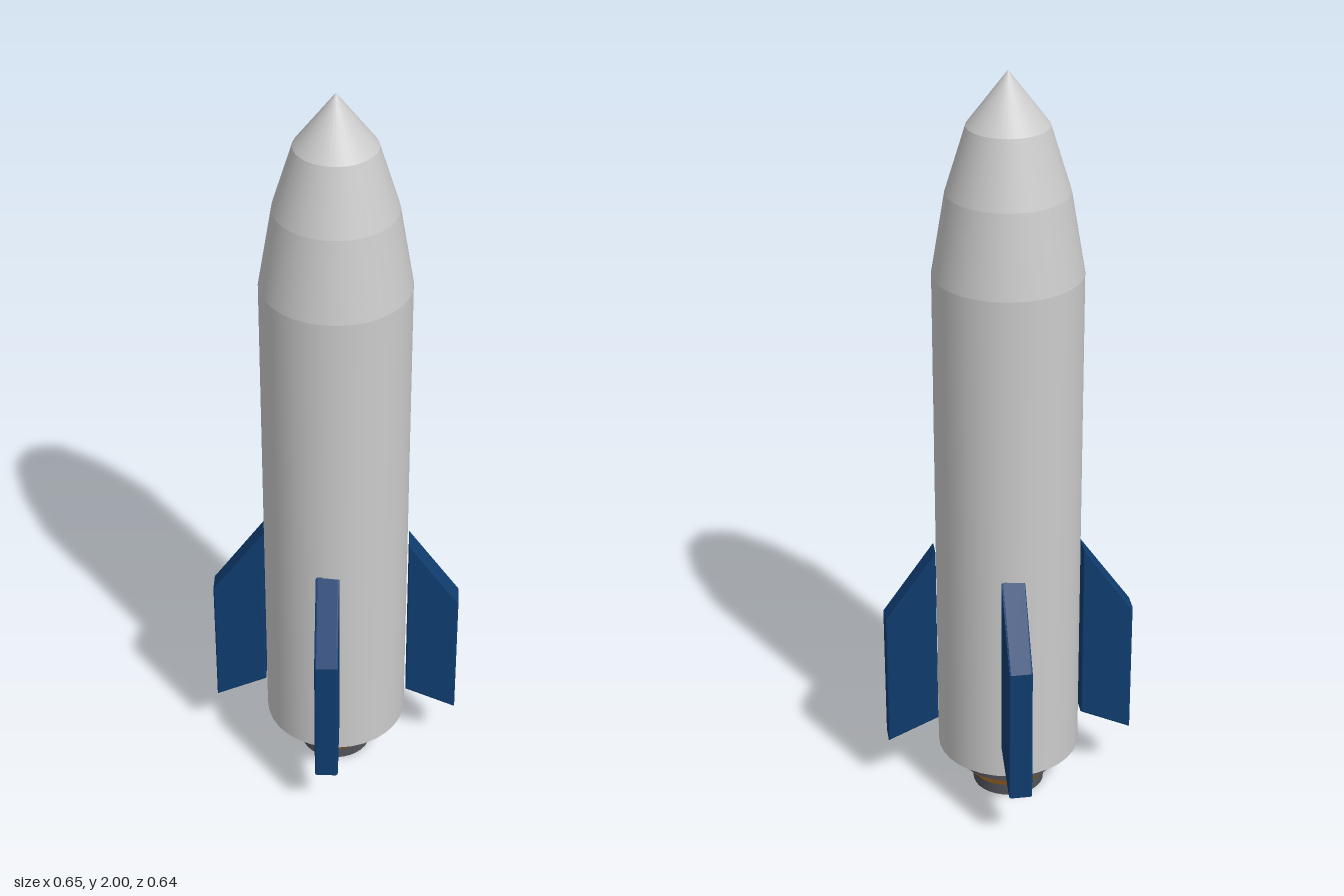
import * as THREE from 'three';

const SEGMENTS = 32;

const paint = (color) => new THREE.MeshStandardMaterial({ color });

export function createModel() {
  const model = new THREE.Group();
  const hull = paint(0xcccccc);
  const metal = paint(0x52525a);
  const copper = paint(0xc8822e);
  const navy = paint(0x0f3d70);

  // Stacked round sections: smooth around, crisp rings where they meet
  const sections = [
    // name, bottom y, top y, bottom radius, top radius, material
    ['nozzleTip', 0, 0.033, 0.095, 0.095, metal],
    ['nozzleCone', 0.033, 0.074, 0.097, 0.134, copper],
    ['engineCollar', 0.074, 0.127, 0.134, 0.134, metal],
    ['body', 0.127, 1.49, 0.188, 0.188, hull],
    ['noseLower', 1.49, 1.7, 0.188, 0.153, hull],
    ['noseMiddle', 1.7, 1.865, 0.153, 0.102, hull],
    ['noseTip', 1.865, 2, 0.102, 0, hull],
  ];
  for (const [name, y0, y1, r0, r1, material] of sections) {
    const section = new THREE.Mesh(new THREE.CylinderGeometry(r1, r0, y1 - y0, SEGMENTS), material);
    section.name = name;
    section.position.y = (y0 + y1) / 2;
    model.add(section);
  }

  // Swept fin plate with slightly softened edges
  const outline = new THREE.Shape([
    new THREE.Vector2(0, 0.215),
    new THREE.Vector2(0.135, 0.154),
    new THREE.Vector2(0.135, 0.53),
    new THREE.Vector2(0, 0.722),
  ]);
  const thickness = 0.061;
  const bevel = 0.005;
  const finGeometry = new THREE.ExtrudeGeometry(outline, {
    depth: thickness - 2 * bevel,
    bevelThickness: bevel,
    bevelSize: bevel,
    bevelOffset: -bevel,
    bevelSegments: 2,
  });
  finGeometry.translate(0, 0, bevel - thickness / 2);

  // Four fins, each set a little off the radial line; the side pair sits further out
  const names = ['finLeft', 'finBack', 'finRight', 'finFront'];
  names.forEach((name, i) => {
    const fin = new THREE.Group();
    fin.name = name;
    const plate = new THREE.Mesh(finGeometry, navy);
    plate.name = name + 'Plate';
    plate.position.set(i % 2 ? 0.185 : 0.191, 0, 0.015);
    fin.add(plate);
    fin.rotation.y = (i * Math.PI) / 2 - 0.055;
    model.add(fin);
  });

  return model;
}
